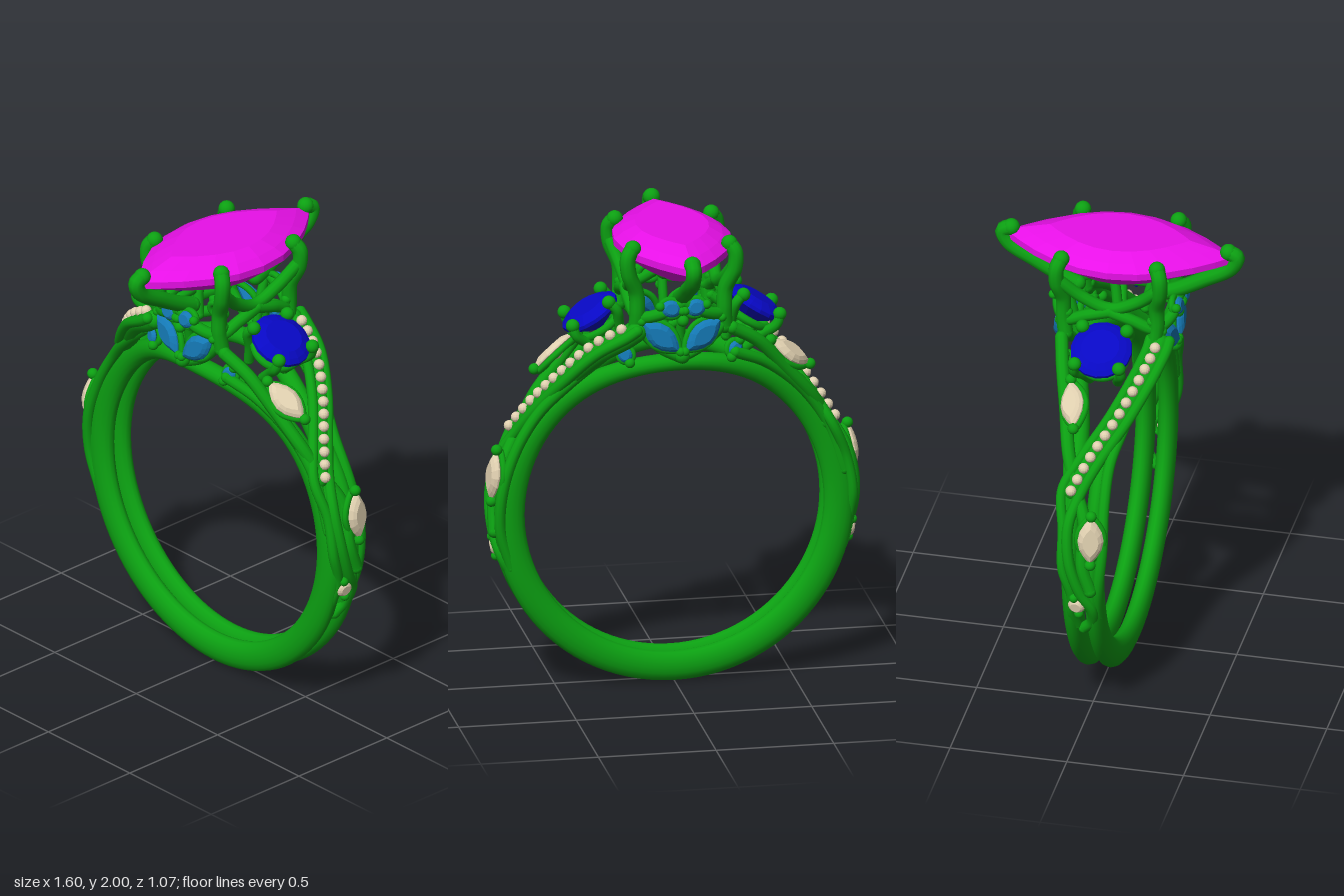
import * as THREE from 'three';

const V = (x, y, z) => new THREE.Vector3(x, y, z);
const metal = new THREE.MeshStandardMaterial({ color: 0x0ca012 });
const gemMat = (color) => new THREE.MeshStandardMaterial({ color, flatShading: true });
const magenta = gemMat(0xe810e8), blue = gemMat(0x0808c4), teal = gemMat(0x1478b4), cream = gemMat(0xe0d0b0);

// Skin a list of closed cross-sections
function loft(rings, closed = false) {
  const n = rings[0].length, m = rings.length, idx = [];
  for (let i = 0; i < (closed ? m : m - 1); i++) {
    for (let j = 0; j < n; j++) {
      const k = (j + 1) % n, p = i * n, q = ((i + 1) % m) * n;
      idx.push(p + j, p + k, q + k, p + j, q + k, q + j);
    }
  }
  const g = new THREE.BufferGeometry().setFromPoints(rings.flat());
  g.setIndex(idx);
  g.computeVertexNormals();
  return g;
}

function add(parent, name, geo, mat = metal) {
  const m = new THREE.Mesh(geo, mat);
  m.name = name;
  parent.add(m);
  return m;
}

function bead(parent, name, p, r, mat = metal) {
  add(parent, name, new THREE.SphereGeometry(r, 14, 10), mat).position.copy(p);
}

// Round wire through points, with ball ends
function wire(parent, name, pts, r, r0 = r, r1 = r) {
  const curve = new THREE.CatmullRomCurve3(pts);
  add(parent, name, new THREE.TubeGeometry(curve, pts.length * 8, r, 10));
  bead(parent, name + 'Start', pts[0], r0);
  bead(parent, name + 'End', pts[pts.length - 1], r1);
}

// Stone outline in the xz plane: pointed (marquise) or oval
function outline(a, b, y, pointed, n) {
  return Array.from({ length: n }, (_, i) => {
    const t = (i / n) * Math.PI * 2, s = Math.sin(t);
    return V(b * s * (pointed ? Math.abs(s) : 1), y, a * Math.cos(t));
  });
}

function gemGeo(a, b, crown, pavilion, pointed, n = 16) {
  const rows = [[0.001, -pavilion], [0.55, -pavilion * 0.55], [1, -0.06 * b], [1, 0.06 * b],
    [0.85, crown * 0.6], [0.62, crown], [0.001, crown]];
  return loft(rows.map(([s, y]) => outline(a * s, b * s, y, pointed, n)));
}

// Group whose y is the normal and z the long axis of a stone
function seat(parent, name, pos, normal, along) {
  const g = new THREE.Group(), y = normal.clone().normalize();
  const x = y.clone().cross(along).normalize(), z = x.clone().cross(y);
  g.quaternion.setFromRotationMatrix(new THREE.Matrix4().makeBasis(x, y, z));
  g.position.copy(pos);
  g.name = name;
  parent.add(g);
  return g;
}

// Small stone in a wire bezel with a claw at each end
function setStone(parent, name, pos, normal, along, a, b, mat, pointed = true, claw = 0.024) {
  const g = seat(parent, name, pos, normal, along);
  add(g, name + 'Stone', gemGeo(a, b, b * 0.45, b * 0.7, pointed), mat);
  const path = new THREE.CatmullRomCurve3(outline(a, b, -0.02, pointed, 16), true);
  add(g, name + 'Bezel', new THREE.TubeGeometry(path, 40, 0.014, 8, true));
  for (const s of [-1, 1]) bead(g, name + 'Claw', V(0, 0, s * (a + claw * 0.3)), claw);
}

// Point on the shank: degrees from the top towards +x, radius, z
const CY = 0.77;
const P = (deg, r, z) => {
  const t = THREE.MathUtils.degToRad(deg);
  return V(r * Math.sin(t), CY + r * Math.cos(t), z);
};

function shankRail() {
  const rings = [];
  for (let i = 0; i < 96; i++) {
    const deg = i * 3.75, c = Math.cos(THREE.MathUtils.degToRad(deg));
    const outer = 0.765 - 0.055 * Math.max(0, c) ** 2;
    const zc = 0.048 + 0.11 * Math.max(0, c) ** 6;
    const h = (outer - 0.635) / 2, ring = [];
    for (let j = 0; j < 16; j++) {
      const f = (j / 16) * Math.PI * 2;
      ring.push(P(deg, 0.635 + h + h * Math.cos(f), zc + 0.041 * Math.sin(f)));
    }
    rings.push(ring);
  }
  return loft(rings, true);
}

function shoulder(g) {
  // Diagonal row of small stones in a channel between two wires
  const row = [P(13, 0.9, -0.215), P(16, 0.883, -0.21), P(25.7, 0.855, -0.175), P(38.4, 0.804, -0.1),
    P(51, 0.776, -0.01), P(62, 0.772, 0.055)];
  const curve = new THREE.CatmullRomCurve3(row);
  for (let i = 0; i < 14; i++) bead(g, 'pavéStone', curve.getPointAt(0.08 + (i / 13) * 0.92), 0.023, cream);
  const inward = (p, d, dz) => V(p.x * (1 - d), CY + (p.y - CY) * (1 - d), p.z + dz);
  wire(g, 'channelFloor', row.map((p) => inward(p, 0.055, 0)), 0.042);
  wire(g, 'channelWire', [...row.map((p) => inward(p, 0.035, -0.04)), P(73, 0.765, 0.055),
    P(85, 0.77, 0.045), P(96, 0.765, 0), P(103, 0.755, -0.045), P(110, 0.74, -0.04), P(114, 0.74, 0)], 0.024);
  wire(g, 'channelWire', [...row.map((p) => inward(p, 0.035, 0.042)), P(75, 0.75, 0.08),
    P(88, 0.755, 0.075), P(98, 0.75, 0.04), P(106, 0.745, 0.045), P(113, 0.735, 0.03)], 0.022);

  // Vines along both edges of the shank
  wire(g, 'edgeVine', [P(15, 0.85, 0.2), P(24, 0.82, 0.17), P(36, 0.765, 0.13), P(50, 0.745, 0.09),
    P(62, 0.735, 0.04), P(72, 0.75, -0.01), P(86, 0.76, -0.01), P(95, 0.765, -0.045)], 0.028);
  wire(g, 'edgeVine', [P(24, 0.78, -0.15), P(38, 0.75, -0.13), P(52, 0.74, -0.09), P(66, 0.74, -0.085),
    P(80, 0.745, -0.09), P(94, 0.745, -0.075), P(108, 0.73, -0.06)], 0.024);
  wire(g, 'edgeVine', [P(18, 0.75, 0.2), P(30, 0.745, 0.15), P(46, 0.735, 0.1), P(62, 0.73, 0.075), P(80, 0.73, 0.07)], 0.024);

  setStone(g, 'upperLeaf', V(0.485, 1.435, 0.095), V(0.62, 0.68, 0.4), V(0.6, -0.7, -0.3), 0.105, 0.055, cream);
  setStone(g, 'lowerLeaf', V(0.765, 0.95, -0.048), V(1, 0.1, -0.2), V(-0.1, 1, 0), 0.105, 0.055, cream);
  setStone(g, 'budStone', V(0.755, 0.62, 0.015), V(1, -0.2, 0.1), V(0, 1, 0.2), 0.036, 0.036, cream, false, 0.02);

  // Round side stone in a four-claw basket
  const s = seat(g, 'sideStone', V(0.35, 1.63, 0), V(0.52, 0.85, 0), V(0, 0, 1));
  add(s, 'sideGem', gemGeo(0.13, 0.13, 0.035, 0.09, false, 16), blue);
  const hoop = add(s, 'sideBasketHoop', new THREE.TorusGeometry(0.095, 0.018, 8, 32));
  hoop.rotation.x = Math.PI / 2;
  hoop.position.y = -0.065;
  for (const [cx, cz] of [[1, 1], [1, -1], [-1, 1], [-1, -1]]) {
    wire(s, 'sideClaw', [V(cx * 0.09, 0.025, cz * 0.095), V(cx * 0.1, -0.02, cz * 0.1),
      V(cx * 0.075, -0.09, cz * 0.075), V(cx * 0.05, -0.17, cz * 0.06)], 0.022, 0.029);
  }
}

function gallery(g) {
  // Butterfly of stones below the centre stone
  for (const s of [-1, 1]) {
    setStone(g, 'wing', V(s * 0.09, 1.58, 0.235), V(s * 0.1, 0.1, 1), V(s * 0.75, 0.62, 0), 0.1, 0.052, teal, true, 0.02);
    setStone(g, 'upperWing', V(s * 0.052, 1.71, 0.265), V(0, 0.2, 1), V(s, 0.25, 0), 0.042, 0.036, teal, false, 0.02);
    setStone(g, 'cornerStone', V(s * 0.235, 1.495, 0.19), V(s * 0.3, 0.2, 1), V(s * 0.5, 0.8, 0), 0.033, 0.03, teal, false, 0.022);
    wire(g, 'wingStem', [V(0, 1.47, 0.2), V(s * 0.09, 1.52, 0.2), V(s * 0.18, 1.62, 0.2), V(s * 0.19, 1.7, 0.18)], 0.022);
    wire(g, 'galleryWire', [V(0, 1.73, 0.25), V(s * 0.1, 1.68, 0.24), V(s * 0.18, 1.66, 0.19), V(s * 0.2, 1.7, 0.1), V(s * 0.2, 1.73, 0)], 0.026);
  }
  bead(g, 'lowerBead', V(0, 1.49, 0.235), 0.032);
  bead(g, 'middleBead', V(0, 1.65, 0.25), 0.025);
  wire(g, 'centrePost', [V(0, 1.46, 0.18), V(0, 1.6, 0.2), V(0, 1.73, 0.24)], 0.02);

  // Claws of the centre stone
  wire(g, 'endClaw', [V(0, 1.965, 0.465), V(0, 1.945, 0.5), V(0, 1.89, 0.475), V(0, 1.82, 0.36),
    V(0, 1.76, 0.25), V(0, 1.73, 0.18)], 0.034, 0.036);
  for (const s of [-1, 1]) {
    wire(g, 'sideProng', [V(0.205, 1.965, s * 0.205), V(0.228, 1.93, s * 0.22), V(0.225, 1.86, s * 0.22),
      V(0.19, 1.77, s * 0.2), V(0.185, 1.68, s * 0.2), V(0.19, 1.6, s * 0.19)], 0.033, 0.035);
  }
  wire(g, 'sideSwag', [V(0.225, 1.87, 0.21), V(0.2, 1.79, 0.12), V(0.19, 1.74, 0), V(0.2, 1.79, -0.12), V(0.225, 1.87, -0.21)], 0.027);
}

export function createModel() {
  const ring = new THREE.Group();
  ring.name = 'ring';
  // Each half is repeated by a half turn
  for (const turn of [0, Math.PI]) {
    const half = new THREE.Group();
    half.name = turn ? 'backHalf' : 'frontHalf';
    half.rotation.y = turn;
    add(half, 'shankRail', shankRail());
    shoulder(half);
    gallery(half);
    ring.add(half);
  }
  const stone = add(ring, 'centreStone', gemGeo(0.485, 0.247, 0.07, 0.185, true, 24), magenta);
  stone.position.y = 1.93;
  return ring;
}
